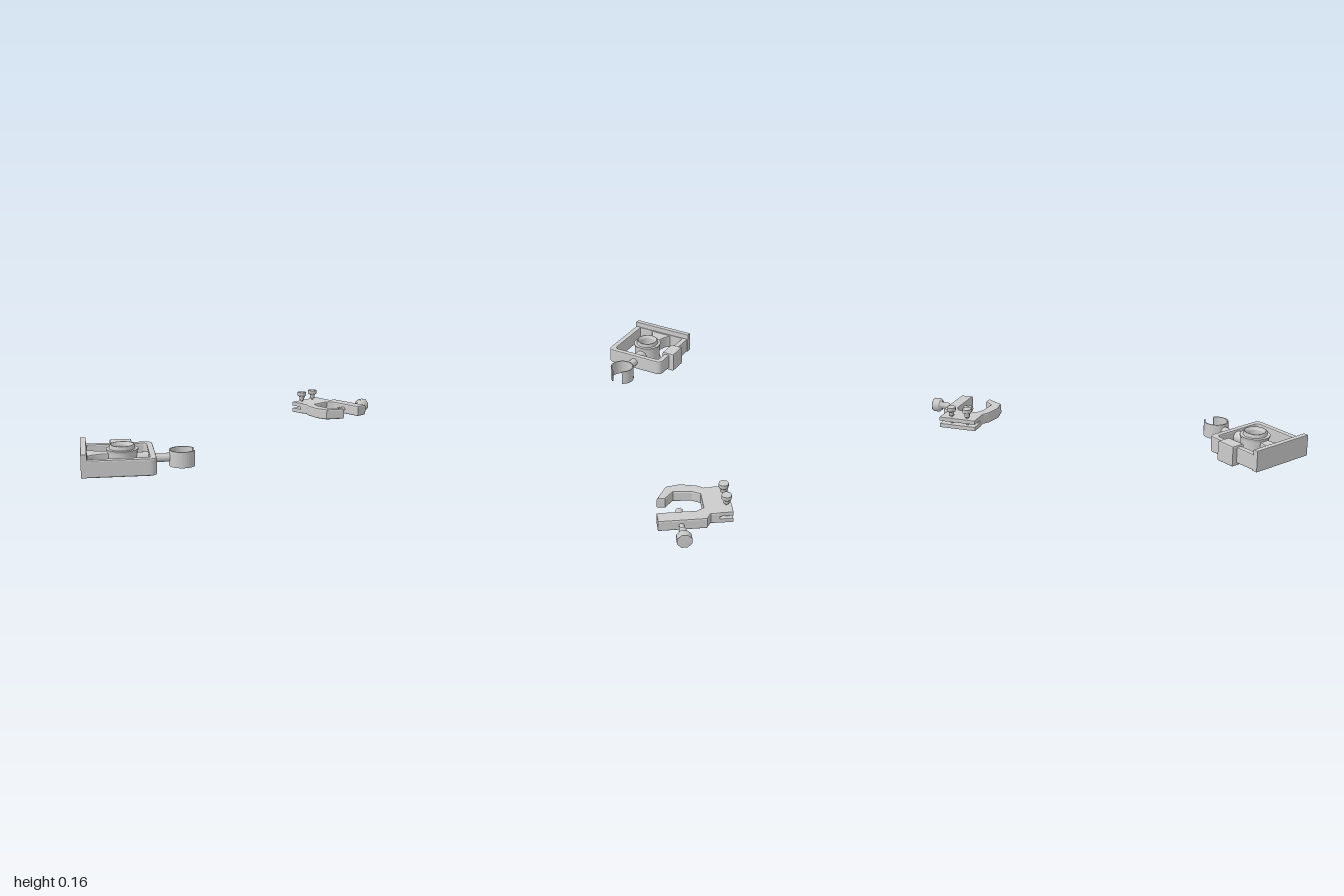
import * as THREE from 'three';

const material = new THREE.MeshStandardMaterial({ color: 0xcccccc, side: THREE.DoubleSide });

function add(parent, name, geometry, x = 0, y = 0, z = 0) {
  const mesh = new THREE.Mesh(geometry, material);
  mesh.name = name;
  mesh.position.set(x, y, z);
  parent.add(mesh);
  return mesh;
}

const outline = (points) => new THREE.Shape(points.map(([x, z]) => new THREE.Vector2(x, z)));

// Extrudes a plan outline (x, z) upwards from y0 to y1 with a small bevel
function slab(shape, y0, y1, bevel = 0.006) {
  const g = new THREE.ExtrudeGeometry(shape, {
    depth: y1 - y0 - 2 * bevel, curveSegments: 16, bevelEnabled: bevel > 0,
    bevelThickness: bevel, bevelSize: bevel, bevelOffset: -bevel, bevelSegments: 2,
  });
  return g.rotateX(Math.PI / 2).translate(0, y1 - bevel, 0);
}

// Turned part along y from [radius, y] pairs
const turned = (points, sides) =>
  new THREE.LatheGeometry(points.map(([r, y]) => new THREE.Vector2(r, y)), sides);

function rodX(radius, x0, x1, sides = 12) {
  return new THREE.CylinderGeometry(radius, radius, x1 - x0, sides)
    .rotateZ(Math.PI / 2).translate((x0 + x1) / 2, 0, 0);
}

function roundedFrame() {
  const s = new THREE.Shape();
  s.moveTo(-0.18, -0.17);
  s.lineTo(0.115, -0.17);
  s.quadraticCurveTo(0.15, -0.17, 0.15, -0.135);
  s.lineTo(0.15, 0.135);
  s.quadraticCurveTo(0.15, 0.17, 0.115, 0.17);
  s.lineTo(-0.18, 0.17);
  s.closePath();
  const h = new THREE.Path();
  h.moveTo(-0.16, -0.138);
  h.lineTo(-0.16, 0.138);
  h.lineTo(0.1, 0.138);
  h.quadraticCurveTo(0.12, 0.138, 0.12, 0.118);
  h.lineTo(0.12, -0.118);
  h.quadraticCurveTo(0.12, -0.138, 0.1, -0.138);
  h.closePath();
  s.holes.push(h);
  return s;
}

function buildHolder() {
  const holder = new THREE.Group();
  holder.name = 'holder';
  add(holder, 'frame', slab(roundedFrame(), 0.018, 0.1, 0.007));
  add(holder, 'backPlate', slab(outline([[-0.192, -0.174], [-0.165, -0.174], [-0.165, 0.17], [-0.192, 0.17]]), 0.018, 0.128, 0.003));

  // Hollow centre ring with a narrower collar on top
  add(holder, 'centreRing', turned([
    [0.045, 0], [0.076, 0], [0.076, 0], [0.076, 0.018], [0.07, 0.024], [0.07, 0.098], [0.075, 0.104],
    [0.075, 0.111], [0.075, 0.111], [0.06, 0.112], [0.06, 0.112], [0.059, 0.128], [0.056, 0.131],
    [0.052, 0.131], [0.045, 0.115], [0.045, 0.115], [0.045, 0],
  ], 32));

  // Flared web from the plate to the ring
  const web = new THREE.Shape();
  web.moveTo(-0.17, -0.075);
  web.quadraticCurveTo(-0.145, -0.03, -0.055, -0.026);
  web.lineTo(-0.055, 0.026);
  web.quadraticCurveTo(-0.145, 0.03, -0.17, 0.075);
  add(holder, 'plateWeb', slab(web, 0.025, 0.095));

  add(holder, 'clipStrut', rodX(0.03, 0.06, 0.15, 16), 0, 0.06, 0);
  add(holder, 'clipStem', rodX(0.021, 0.14, 0.222, 16), 0, 0.06, 0);
  add(holder, 'sideBlock', slab(outline([[-0.052, -0.198], [0.052, -0.198], [0.052, -0.128], [-0.052, -0.128]]), 0.004, 0.11, 0.008));

  // Thin spring clip, open on its outer side
  const gap = 0.5, clip = new THREE.Shape();
  clip.absarc(0.28, 0, 0.063, gap, 2 * Math.PI - gap, false);
  clip.absarc(0.28, 0, 0.057, 2 * Math.PI - gap, gap, true);
  clip.closePath();
  add(holder, 'springClip', slab(clip, 0.02, 0.096, 0));

  holder.position.set(-0.745, 0, 0.012);
  holder.rotation.y = -THREE.MathUtils.degToRad(35);
  return holder;
}

function buildClamp() {
  const clamp = new THREE.Group();
  clamp.name = 'clamp';
  // Hooked jaw on one side, straight arm on the other
  add(clamp, 'clampBody', slab(outline([
    [0.655, -0.165], [0.855, -0.165], [0.855, -0.125], [0.887, -0.105], [0.887, 0.116], [0.823, 0.116],
    [0.823, -0.065], [0.803, -0.098], [0.703, -0.098], [0.682, -0.06], [0.675, 0.025],
    [0.722, 0.066], [0.718, 0.104], [0.63, 0.055], [0.617, -0.012], [0.635, -0.09], [0.655, -0.12],
  ]), 0.047, 0.104, 0.008));

  // Split tongues pinched together by the screws
  const tongue = outline([[0.655, -0.227], [0.853, -0.227], [0.853, -0.15], [0.655, -0.15]]);
  add(clamp, 'lowerTongue', slab(tongue, 0.047, 0.069, 0.003));
  add(clamp, 'upperTongue', slab(tongue, 0.082, 0.104, 0.003));

  for (const x of [0.706, 0.794]) {
    add(clamp, 'tongueScrew', turned([
      [0, 0.044], [0.006, 0.044], [0.006, 0.113], [0.014, 0.113], [0.014, 0.113], [0.014, 0.134],
      [0.022, 0.135], [0.024, 0.139], [0.024, 0.156], [0.024, 0.157], [0, 0.157],
    ], 8), x, 0, -0.203);
  }

  // Thumb screw through the straight arm
  const screw = turned([
    [0, 0.78], [0.017, 0.78], [0.017, 0.78], [0.017, 0.794], [0.012, 0.796], [0.012, 0.915],
    [0.018, 0.918], [0.018, 0.96], [0.032, 0.96], [0.036, 0.965], [0.036, 0.998], [0.036, 1], [0, 1],
  ], 8).rotateY(Math.PI / 8).rotateZ(-Math.PI / 2);
  add(clamp, 'thumbScrew', screw, 0, 0.074, 0.01);
  return clamp;
}

export function createModel() {
  const model = new THREE.Group();
  model.name = 'holderAndClamp';
  model.add(buildHolder(), buildClamp());
  return model;
}
